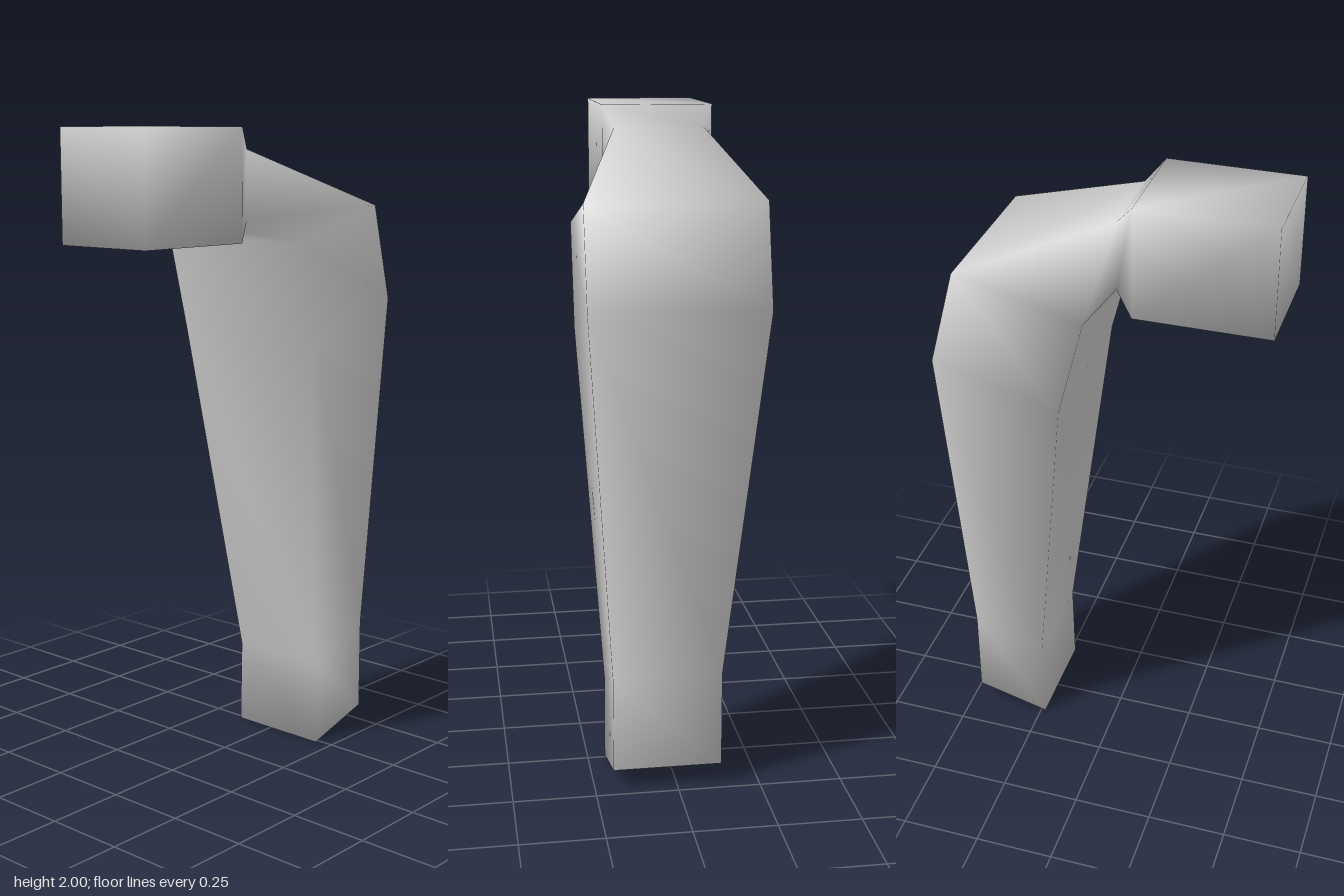
import * as THREE from 'three';

// Each ring: left x, right x, outer edge (z, y), inner edge (z, y)
const RINGS = [
  [-0.19, 0.15, 0.5, 2.0, 0.5, 1.66],       // grip end
  [-0.19, 0.15, 0.09, 2.0, 0.09, 1.66],     // grip root
  [-0.155, 0.12, 0.035, 1.935, 0.035, 1.725], // neck
  [-0.263, 0.262, -0.42, 1.76, -0.03, 1.66],  // shoulder
  [-0.263, 0.262, -0.5, 1.46, -0.11, 1.35],   // top of shaft
  [-0.135, 0.195, -0.472, 0.36, -0.24, 0.27], // ankle
  [-0.135, 0.195, -0.472, 0.065, -0.235, 0],  // foot
];

// Four-sided tube through the rings, closed at both ends, with shared smooth vertices
function loftRings(rings) {
  const positions = [];
  const index = [];
  for (const [xl, xr, zo, yo, zi, yi] of rings) {
    positions.push(xl, yo, zo, xr, yo, zo, xr, yi, zi, xl, yi, zi);
  }
  for (let i = 0; i < rings.length - 1; i++) {
    for (let k = 0; k < 4; k++) {
      const a = i * 4 + k;
      const b = i * 4 + ((k + 1) % 4);
      index.push(a, b, a + 4, b, b + 4, a + 4);
    }
  }
  const e = (rings.length - 1) * 4;
  index.push(0, 3, 2, 0, 2, 1);
  index.push(e, e + 1, e + 2, e, e + 2, e + 3);
  const geometry = new THREE.BufferGeometry();
  geometry.setAttribute('position', new THREE.Float32BufferAttribute(positions, 3));
  geometry.setIndex(index);
  geometry.computeVertexNormals();
  return geometry;
}

export function createModel() {
  const group = new THREE.Group();
  group.name = 'bentLimb';

  const grey = new THREE.MeshStandardMaterial({ color: 0xcccccc });
  grey.name = 'light grey';

  // One continuous body: grip, neck, shoulder and tapering shaft
  const limb = new THREE.Mesh(loftRings(RINGS), grey);
  limb.name = 'limb';
  group.add(limb);
  return group;
}
